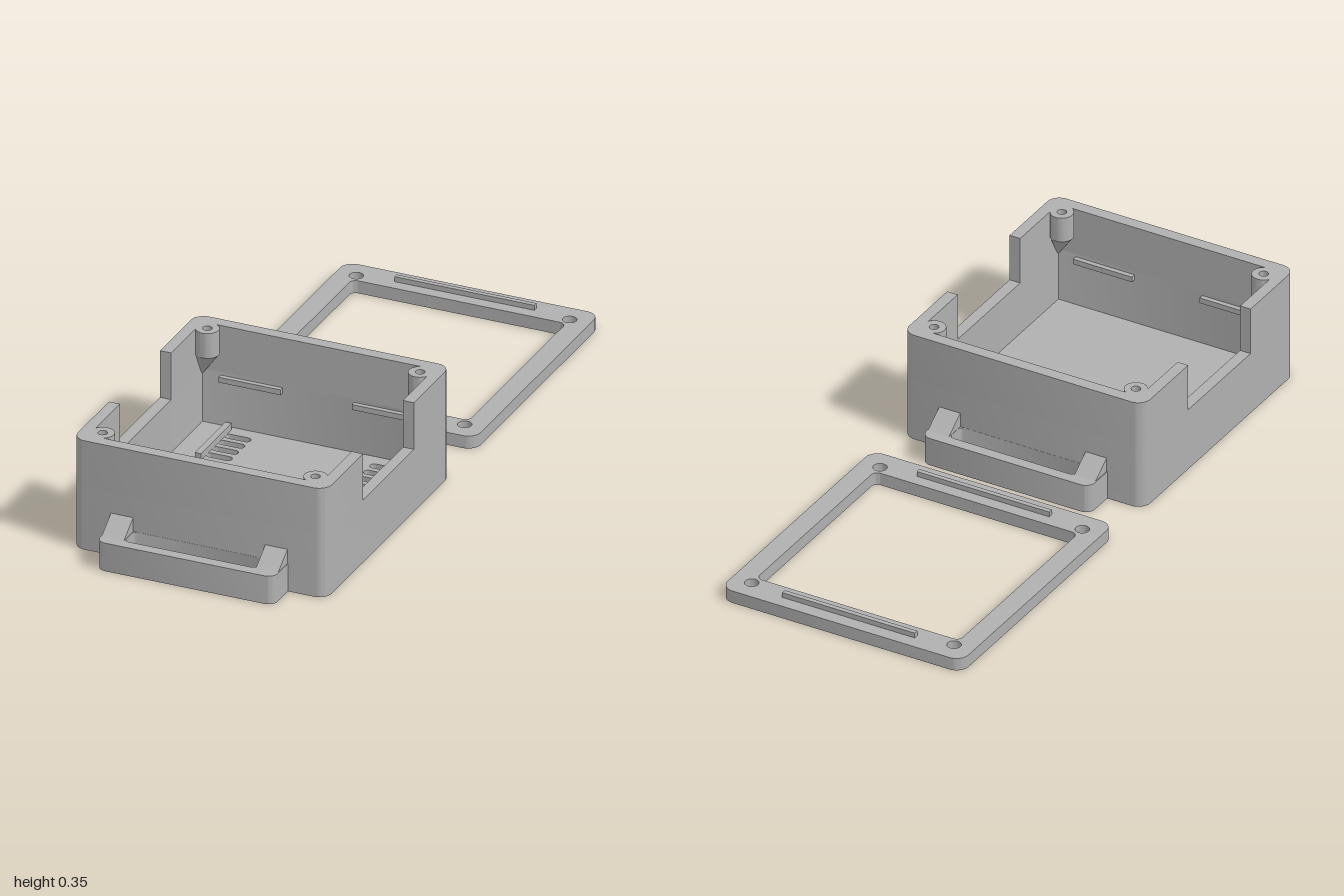
import * as THREE from 'three';
import { toCreasedNormals } from 'three/addons/utils/BufferGeometryUtils.js';

const grey = new THREE.MeshStandardMaterial({ color: 0xb0b0b0 });
grey.name = 'grey plastic';

function add(parent, name, geometry) {
  const mesh = new THREE.Mesh(geometry, grey);
  mesh.name = name;
  parent.add(mesh);
  return mesh;
}

// Rounded rectangle in plan (x, z)
function roundRect(path, x0, z0, x1, z1, r) {
  path.moveTo(x0 + r, z0);
  path.lineTo(x1 - r, z0);
  path.absarc(x1 - r, z0 + r, r, -Math.PI / 2, 0, false);
  path.lineTo(x1, z1 - r);
  path.absarc(x1 - r, z1 - r, r, 0, Math.PI / 2, false);
  path.lineTo(x0 + r, z1);
  path.absarc(x0 + r, z1 - r, r, Math.PI / 2, Math.PI, false);
  path.lineTo(x0, z0 + r);
  path.absarc(x0 + r, z0 + r, r, Math.PI, Math.PI * 1.5, false);
  return path;
}
const rectShape = (...a) => roundRect(new THREE.Shape(), ...a);
const rectHole = (...a) => roundRect(new THREE.Path(), ...a);
const roundHole = (x, z, r) => new THREE.Path().absarc(x, z, r, 0, Math.PI * 2, true);

// Extrude a plan shape between two heights
function slab(shape, y0, y1) {
  const g = new THREE.ExtrudeGeometry(shape, { depth: y1 - y0, bevelEnabled: false, curveSegments: 10 });
  g.rotateX(Math.PI / 2);
  g.translate(0, y1, 0);
  return toCreasedNormals(g, 0.5);
}

function block(x, y, z, w, h, d) {
  return new THREE.BoxGeometry(w, h, d).translate(x, y, z);
}

const W = 0.4, L = 0.4325;      // half width and half length of case and lid
const IW = 0.365, IL = 0.395;   // inner faces of the walls
const R = 0.04;                 // corner radius
const FLOOR = 0.03, SILL = 0.2, TOP = 0.35;
const POST_X = 0.335, POST_Z = 0.3635;

// Screw post with a tapered foot running into the wall corner at (-x, -z)
function makePost() {
  const post = new THREE.Group();
  post.name = 'screwPost';
  const r = 0.035, footTop = 0.27, footH = 0.085;
  const s = new THREE.Shape();
  s.moveTo(-r, -r);
  s.lineTo(0, -r);
  s.absarc(0, 0, r, -Math.PI / 2, Math.PI, false);
  s.closePath();
  s.holes.push(roundHole(0, 0, 0.014));
  add(post, 'postBarrel', slab(s, footTop, TOP));

  const foot = new THREE.CylinderGeometry(r, 0.002, footH, 28);
  const p = foot.attributes.position;
  for (let i = 0; i < p.count; i++) {
    if (p.getY(i) < 0) {
      p.setX(i, p.getX(i) - 0.031);
      p.setZ(i, p.getZ(i) - 0.031);
    }
  }
  foot.translate(0, footTop - footH / 2, 0);
  add(post, 'postFoot', toCreasedNormals(foot, 0.5));
  return post;
}

// One end of the case (towards -z): raised wall, posts, ribs and strap loop
function makeEnd() {
  const end = new THREE.Group();
  end.name = 'caseEnd';
  const notch = -0.1775;
  const s = new THREE.Shape();
  s.moveTo(-W, notch);
  s.lineTo(-W, -L + R);
  s.absarc(-W + R, -L + R, R, Math.PI, Math.PI * 1.5, false);
  s.lineTo(W - R, -L);
  s.absarc(W - R, -L + R, R, -Math.PI / 2, 0, false);
  s.lineTo(W, notch);
  s.lineTo(IW, notch);
  s.lineTo(IW, -IL);
  s.lineTo(-IW, -IL);
  s.lineTo(-IW, notch);
  s.closePath();
  add(end, 'raisedWall', slab(s, SILL, TOP));

  // Strap loop
  const loop = rectShape(-0.28, -0.5325, 0.28, -0.398, 0.03);
  loop.holes.push(rectHole(-0.207, -0.4975, 0.207, -0.433, 0.015));
  add(end, 'strapLoop', slab(loop, 0, 0.09));

  const wedge = new THREE.Shape();
  wedge.moveTo(0.42, 0.05);
  wedge.lineTo(0.4975, 0.05);
  wedge.lineTo(0.4975, 0.09);
  wedge.lineTo(0.4325, 0.135);
  wedge.lineTo(0.42, 0.135);
  wedge.closePath();

  for (const side of [-1, 1]) {
    const g = new THREE.ExtrudeGeometry(wedge, { depth: 0.07, bevelEnabled: false });
    g.rotateY(Math.PI / 2);
    g.translate(side * 0.243 - 0.035, 0, 0);
    add(end, 'loopGusset', g);

    add(end, 'wallRib', block(side * 0.21, 0.182, -IL + 0.006, 0.195, 0.017, 0.018));

    const post = makePost();
    post.position.set(side * POST_X, 0, -POST_Z);
    if (side > 0) post.rotation.y = -Math.PI / 2;
    end.add(post);
  }
  return end;
}

function makeCase() {
  const box = new THREE.Group();
  box.name = 'case';

  // Floor with vent slots
  const floor = rectShape(-W, -L, W, L, R);
  for (const side of [-1, 1]) {
    for (let i = 0; i < 4; i++) {
      const z = -0.34 + i * 0.0435, x = side * 0.228;
      floor.holes.push(rectHole(x - 0.04, z - 0.013, x + 0.04, z + 0.013, 0.0128));
    }
    add(box, 'floorRail', block(side * 0.277, FLOOR + 0.009, -0.276, 0.02, 0.022, 0.212));
  }
  add(box, 'floor', slab(floor, 0, FLOOR));

  // Low walls up to the side cut-outs
  const wall = rectShape(-W, -L, W, L, R);
  wall.holes.push(rectHole(-IW, -IL, IW, IL, 0.001));
  add(box, 'lowWalls', slab(wall, FLOOR, SILL));

  const back = makeEnd(), front = makeEnd();
  front.rotation.y = Math.PI;
  box.add(back, front);
  return box;
}

function makeLid() {
  const lid = new THREE.Group();
  lid.name = 'lid';
  const s = rectShape(-W, -L, W, L, R);
  s.holes.push(rectHole(-0.337, -0.337, 0.337, 0.337, 0.02));
  for (const x of [-1, 1]) {
    for (const z of [-1, 1]) s.holes.push(roundHole(x * 0.336, z * 0.365, 0.021));
  }
  add(lid, 'lidFrame', slab(s, 0, 0.04));
  for (const z of [-1, 1]) {
    add(lid, 'lidRib', block(0, 0.045, z * 0.383, 0.44, 0.022, 0.015));
  }
  return lid;
}

export function createModel() {
  const model = new THREE.Group();
  model.name = 'enclosure';
  const box = makeCase();
  box.position.z = 0.4675;
  const lid = makeLid();
  lid.position.z = -0.5675;
  model.add(box, lid);
  return model;
}
